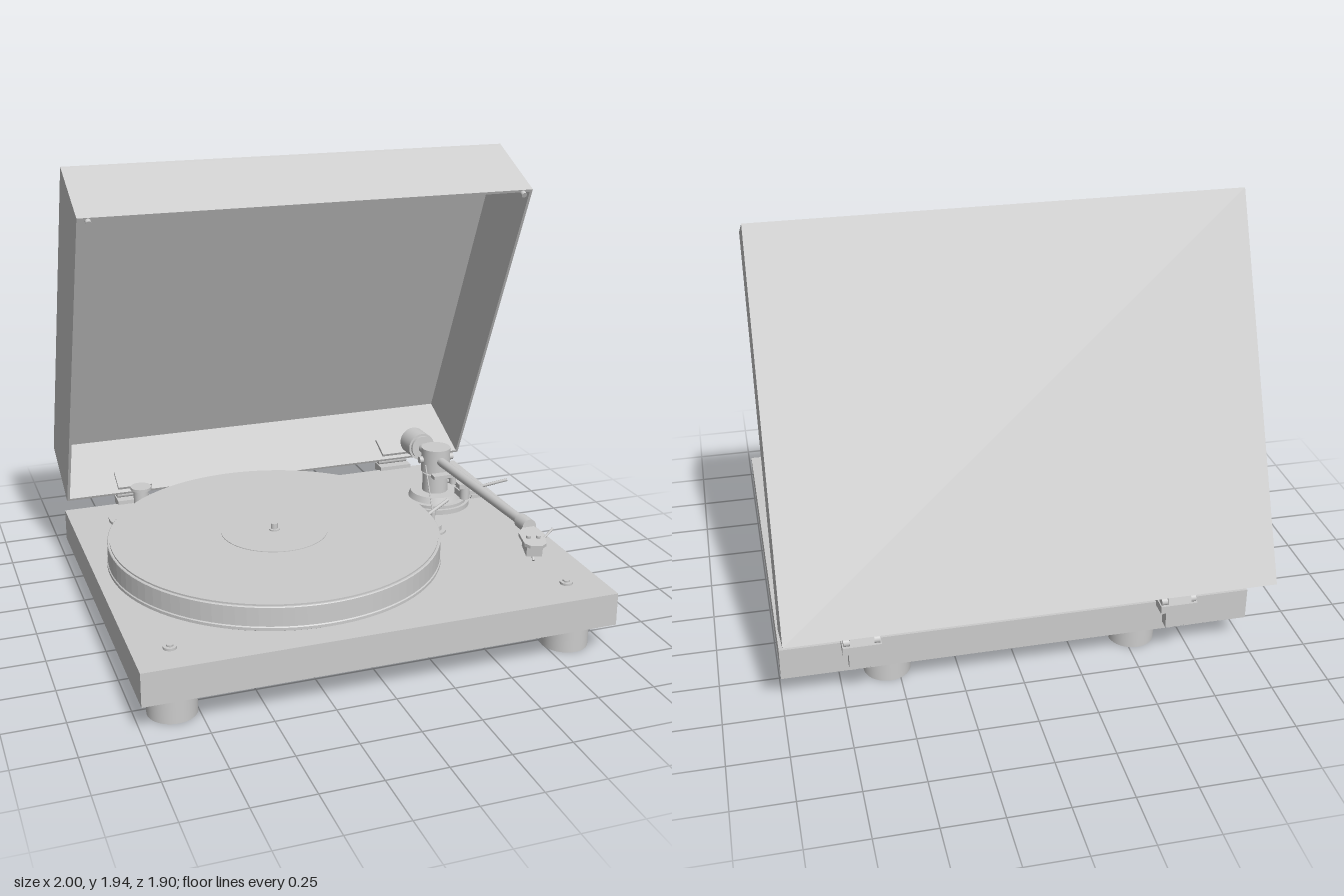
import * as THREE from 'three';

export function createModel() {
  const root = new THREE.Group();
  root.name = 'turntable';
  const grey = new THREE.MeshStandardMaterial({ color: 0xcccccc });
  grey.name = 'light grey';

  const add = (parent, name, geo, x = 0, y = 0, z = 0) => {
    const m = new THREE.Mesh(geo, grey);
    m.name = name;
    m.position.set(x, y, z);
    parent.add(m);
    return m;
  };
  const box = (p, name, w, h, d, x, y, z) => add(p, name, new THREE.BoxGeometry(w, h, d), x, y, z);
  // Upright cylinder from height y0 to y1
  const disc = (p, name, r, y0, y1, x, z, seg = 40, rBottom = r) =>
    add(p, name, new THREE.CylinderGeometry(r, rBottom, y1 - y0, seg), x, (y0 + y1) / 2, z);
  // Round bar between two points
  const bar = (p, name, a, b, r, seg = 20) => {
    const A = new THREE.Vector3(...a), B = new THREE.Vector3(...b);
    const m = add(p, name, new THREE.CylinderGeometry(r, r, A.distanceTo(B), seg));
    m.position.copy(A).add(B).multiplyScalar(0.5);
    m.quaternion.setFromUnitVectors(new THREE.Vector3(0, 1, 0), B.sub(A).normalize());
    return m;
  };

  // Plinth, feet and deck screws
  box(root, 'plinth', 2, 0.142, 1.615, 0, 0.196, 0.138);
  for (const [x, z] of [[-0.85, 0.795], [0.845, 0.795], [-0.535, -0.515], [0.545, -0.515]]) {
    disc(root, 'foot', 0.1, 0, 0.108, x, z);
    disc(root, 'footStem', 0.032, 0.108, 0.128, x, z, 20);
  }
  for (const x of [-0.85, 0.845]) {
    disc(root, 'deckScrew', 0.027, 0.264, 0.277, x, 0.79, 24);
    disc(root, 'deckScrewHead', 0.015, 0.277, 0.284, x, 0.79, 6);
  }

  // Platter, record and bearing
  const px = -0.23, pz = 0.155;
  disc(root, 'bearingHousing', 0.082, 0.06, 0.128, px, pz);
  disc(root, 'bearing', 0.05, 0.26, 0.3, px, pz, 24);
  const platter = [[0, 0.29], [0.712, 0.29], [0.719, 0.294], [0.719, 0.306], [0.715, 0.31],
    [0.715, 0.39], [0.712, 0.393], [0, 0.393]].map(p => new THREE.Vector2(...p));
  const platterMesh = add(root, 'platter', new THREE.LatheGeometry(platter, 96).toNonIndexed(), px, 0, pz);
  platterMesh.geometry.computeVertexNormals();
  disc(root, 'record', 0.705, 0.393, 0.4, px, pz, 96);
  disc(root, 'recordLabel', 0.23, 0.4, 0.403, px, pz, 64);
  disc(root, 'spindle', 0.015, 0.4, 0.433, px, pz, 20);
  disc(root, 'spindleCollar', 0.024, 0.4, 0.409, px, pz, 20);

  // Motor and drive pulley
  disc(root, 'motorPlate', 0.14, 0.264, 0.281, -0.69, -0.47, 48);
  disc(root, 'pulley', 0.035, 0.28, 0.405, -0.67, -0.5, 24);
  disc(root, 'pulleyCap', 0.048, 0.397, 0.41, -0.67, -0.5, 24);

  // Tonearm base and pivot
  const ax = 0.683, az = -0.2;
  const arm = new THREE.Group();
  arm.name = 'tonearm';
  root.add(arm);
  disc(arm, 'armBase', 0.162, 0.264, 0.29, ax, az, 56);
  disc(arm, 'armBaseStep', 0.148, 0.29, 0.304, ax, az, 56);
  disc(arm, 'armCollar', 0.115, 0.304, 0.332, ax, az, 48, 0.125);
  disc(arm, 'armColumn', 0.06, 0.332, 0.42, ax, az, 32);
  disc(arm, 'pivotHousing', 0.068, 0.43, 0.545, ax, az, 32);
  bar(arm, 'pivotAxle', [ax - 0.085, 0.49, az], [ax + 0.085, 0.49, az], 0.016);
  bar(arm, 'heightScrew', [ax, 0.37, az], [ax + 0.075, 0.37, az], 0.016);
  // Arm tube, collar and counterweight
  bar(arm, 'armTube', [ax, 0.527, 0.7], [ax, 0.49, -0.2], 0.021);
  bar(arm, 'headCollar', [ax, 0.528, 0.745], [ax, 0.525, 0.67], 0.031);
  bar(arm, 'rearStub', [ax, 0.49, -0.24], [ax, 0.486, -0.37], 0.022);
  bar(arm, 'counterweight', [ax, 0.487, -0.365], [ax, 0.483, -0.475], 0.065, 40);
  bar(arm, 'weightDial', [ax, 0.488, -0.35], [ax, 0.487, -0.368], 0.055, 32);

  // Headshell with cartridge, stylus and finger lift
  const head = new THREE.Group();
  head.name = 'headshell';
  head.position.set(ax, 0.522, 0.735);
  head.rotation.set(0.1, -0.27, 0);
  arm.add(head);
  const shape = new THREE.Shape([[-0.02, 0], [0.02, 0], [0.052, 0.06], [0.045, 0.145],
    [0.025, 0.165], [-0.025, 0.165], [-0.045, 0.145], [-0.052, 0.06]].map(p => new THREE.Vector2(...p)));
  const shell = new THREE.ExtrudeGeometry(shape, { depth: 0.014, bevelEnabled: false });
  add(head, 'headshellPlate', shell.rotateX(Math.PI / 2), 0, 0.007, 0);
  box(head, 'cartridge', 0.065, 0.05, 0.09, 0, -0.03, 0.098);
  bar(head, 'stylus', [0, -0.05, 0.11], [0, -0.075, 0.14], 0.006, 8);
  bar(head, 'fingerLift', [0.04, 0, 0.1], [0.085, 0.03, 0.065], 0.005, 8);
  for (const x of [-0.02, 0.02]) disc(head, 'cartridgeScrew', 0.01, 0.005, 0.018, x, 0.1, 12);

  // Arm lift, rest and cue lever
  box(arm, 'liftBracket', 0.05, 0.018, 0.32, 0.74, 0.416, -0.03);
  box(arm, 'liftPlatform', 0.11, 0.03, 0.07, 0.72, 0.428, 0.09);
  disc(arm, 'restPost', 0.022, 0.41, 0.475, 0.685, 0.12, 16);
  box(arm, 'restClip', 0.07, 0.022, 0.04, 0.685, 0.475, 0.12);
  disc(arm, 'liftPost', 0.016, 0.42, 0.46, 0.7, -0.04, 16);
  box(arm, 'liftBar', 0.13, 0.016, 0.04, 0.66, 0.466, -0.035);
  bar(arm, 'cueLever', [0.75, 0.415, 0.04], [0.9, 0.47, 0.115], 0.007, 10);

  // Anti-skate post with its thread
  disc(root, 'antiSkateBase', 0.062, 0.264, 0.278, 0.535, 0.11, 32);
  disc(root, 'antiSkateKnob', 0.042, 0.278, 0.3, 0.535, 0.11, 24);
  disc(root, 'antiSkatePost', 0.012, 0.3, 0.36, 0.535, 0.11, 12);
  bar(root, 'antiSkateArm', [0.51, 0.355, 0.12], [0.63, 0.385, 0.06], 0.008, 10);
  bar(root, 'antiSkateThread', [0.535, 0.36, 0.11], [0.61, 0.48, -0.15], 0.003, 6);
  disc(root, 'controlKnob', 0.035, 0.264, 0.3, 0.53, -0.06, 24);

  // Open dust cover: a five-sided box tilted back
  const lid = new THREE.Group();
  lid.name = 'dustCover';
  lid.position.set(0, 0.333, -0.62);
  lid.rotation.x = 0.431;
  root.add(lid);
  const L = 1.602, D = 0.365, t = 0.012;
  box(lid, 'coverTop', 1.99, L, t, 0, L / 2, -D + t / 2);
  for (const s of [-1, 1]) {
    box(lid, 'coverSide', t, L - 2 * t, D - t, s * (0.995 - t / 2), L / 2, -(D - t) / 2);
    add(lid, 'bumper', new THREE.CylinderGeometry(0.012, 0.012, 0.022, 16).rotateX(Math.PI / 2),
      s * 0.95, L - 0.015, 0.008);
  }
  for (const y of [t / 2, L - t / 2]) box(lid, 'coverEnd', 1.99, t, D - t, 0, y, -(D - t) / 2);

  // Hinges
  for (const s of [-1, 1]) {
    const x = s * 0.67;
    box(lid, 'hingeOuterPlate', 0.18, 0.014, 0.12, x, -0.008, -0.085);
    box(lid, 'hingeInnerPlate', 0.16, 0.014, 0.11, x, 0.018, -0.075);
    box(root, 'hingeBody', 0.11, 0.1, 0.045, x, 0.225, -0.708);
    box(root, 'hingeBracket', 0.16, 0.035, 0.085, x, 0.268, -0.695);
    for (const k of [-1, 0, 1]) box(root, 'hingeRib', 0.022, 0.045, 0.04, x + k * 0.04, 0.192, -0.708);
    bar(root, 'hingePin', [x - 0.075, 0.298, -0.712], [x + 0.075, 0.298, -0.712], 0.018, 16);
    const link = box(root, 'hingeLink', 0.1, 0.09, 0.022, x, 0.335, -0.716);
    link.rotation.x = 0.3;
  }
  return root;
}
